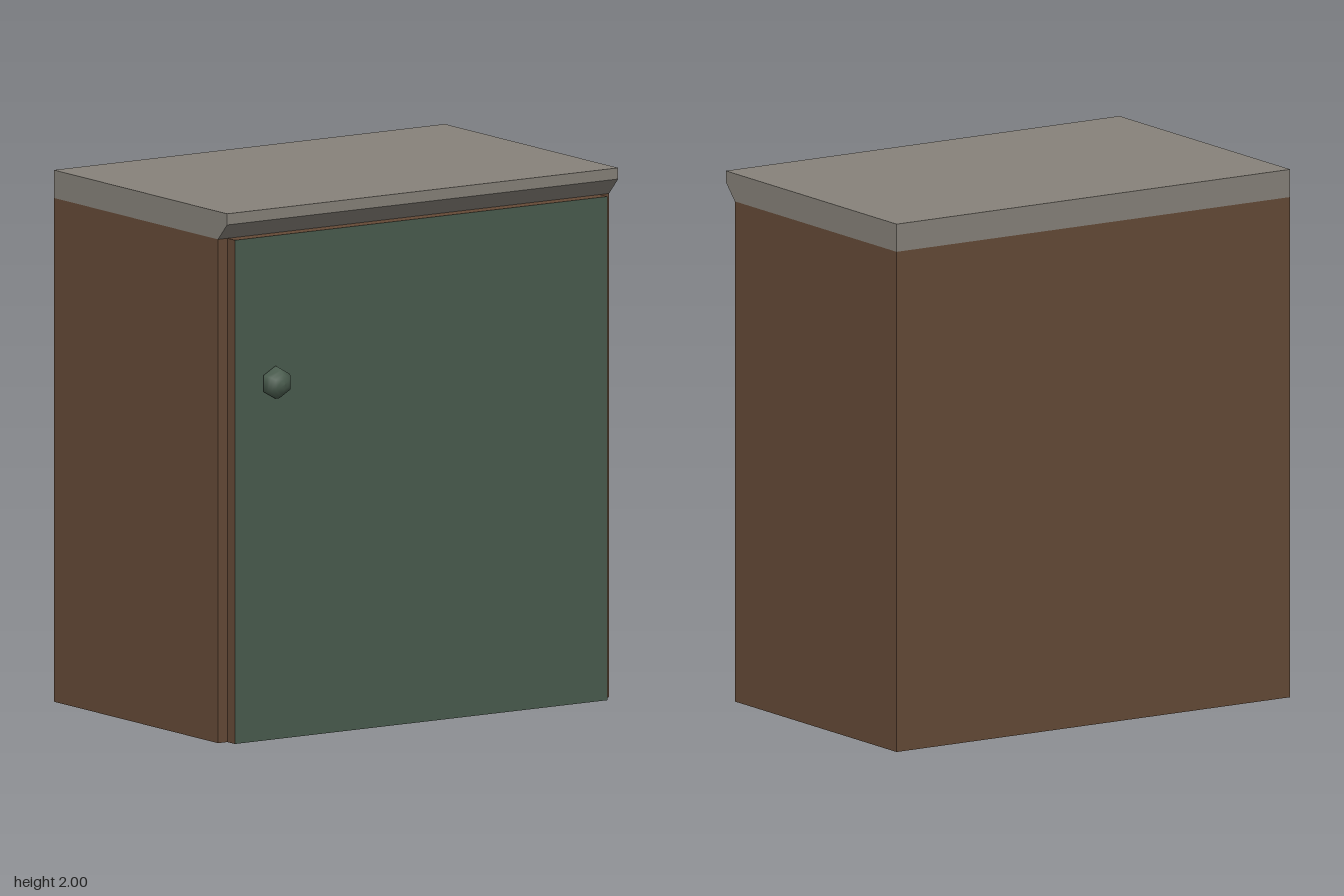
import * as THREE from 'three';

const mat = (name, color, side = THREE.FrontSide) => {
  const m = new THREE.MeshStandardMaterial({ color, side });
  m.name = name;
  return m;
};

export function createModel() {
  const model = new THREE.Group();
  model.name = 'cabinet';
  const brown = mat('brown wood', 0x654a37, THREE.DoubleSide);
  const green = mat('green paint', 0x4a5c4e);
  const grey = mat('grey countertop', 0x87827a);

  const add = (name, geo, material, x, y, z, rx = 0, ry = 0) => {
    const mesh = new THREE.Mesh(geo, material);
    mesh.name = name;
    mesh.position.set(x, y, z);
    mesh.rotation.set(rx, ry, 0);
    model.add(mesh);
    return mesh;
  };

  const halfW = 0.877, back = -0.6, front = 0.48, bodyH = 1.895;
  const depth = front - back, midZ = (front + back) / 2;

  // Thin-walled body, open underneath
  for (const s of [-1, 1]) {
    add(s > 0 ? 'leftWall' : 'rightWall', new THREE.PlaneGeometry(depth, bodyH), brown,
      s * halfW, bodyH / 2, midZ, 0, s * Math.PI / 2);
  }
  add('frontWall', new THREE.PlaneGeometry(halfW * 2, bodyH), brown, 0, bodyH / 2, front);
  add('backWall', new THREE.PlaneGeometry(halfW * 2, bodyH), brown, 0, bodyH / 2, back, 0, Math.PI);

  // Raised floor inside the body
  add('floor', new THREE.PlaneGeometry(1.62, depth), brown, 0, 0.145, midZ, Math.PI / 2);

  // Door with painted front and bare wooden edges
  add('door', new THREE.BoxGeometry(1.67, bodyH, 0.05),
    [brown, brown, brown, green, green, brown], 0, bodyH / 2, front + 0.025);

  // Countertop: side profile with a chamfered front lip, extruded across the width
  const profile = new THREE.Shape([
    [-back, bodyH], [-back, 2], [-0.54, 2], [-0.54, 1.958], [-front, bodyH],
  ].map(([x, y]) => new THREE.Vector2(x, y)));
  const top = new THREE.ExtrudeGeometry(profile, { depth: halfW * 2, bevelEnabled: false });
  add('countertop', top, grey, -halfW, 0, 0, 0, Math.PI / 2);

  // Six-sided domed door knob
  const kx = -0.66, ky = 1.345, r = 0.062;
  const dome = [];
  for (let i = 0; i <= 5; i++) {
    const a = (i / 5) * Math.PI / 2;
    dome.push(new THREE.Vector2(i === 5 ? 0 : r * Math.cos(a), r * Math.sin(a)));
  }
  add('knob', new THREE.LatheGeometry(dome, 6), green, kx, ky, 0.54, Math.PI / 2);
  const knobBack = new THREE.CircleGeometry(r, 6);
  knobBack.rotateZ(Math.PI / 2);
  add('knobBack', knobBack, green, kx, ky, 0.54, 0, Math.PI);
  add('knobNeck', new THREE.CylinderGeometry(0.033, 0.033, 0.02, 6), green, kx, ky, 0.533, Math.PI / 2);

  return model;
}
